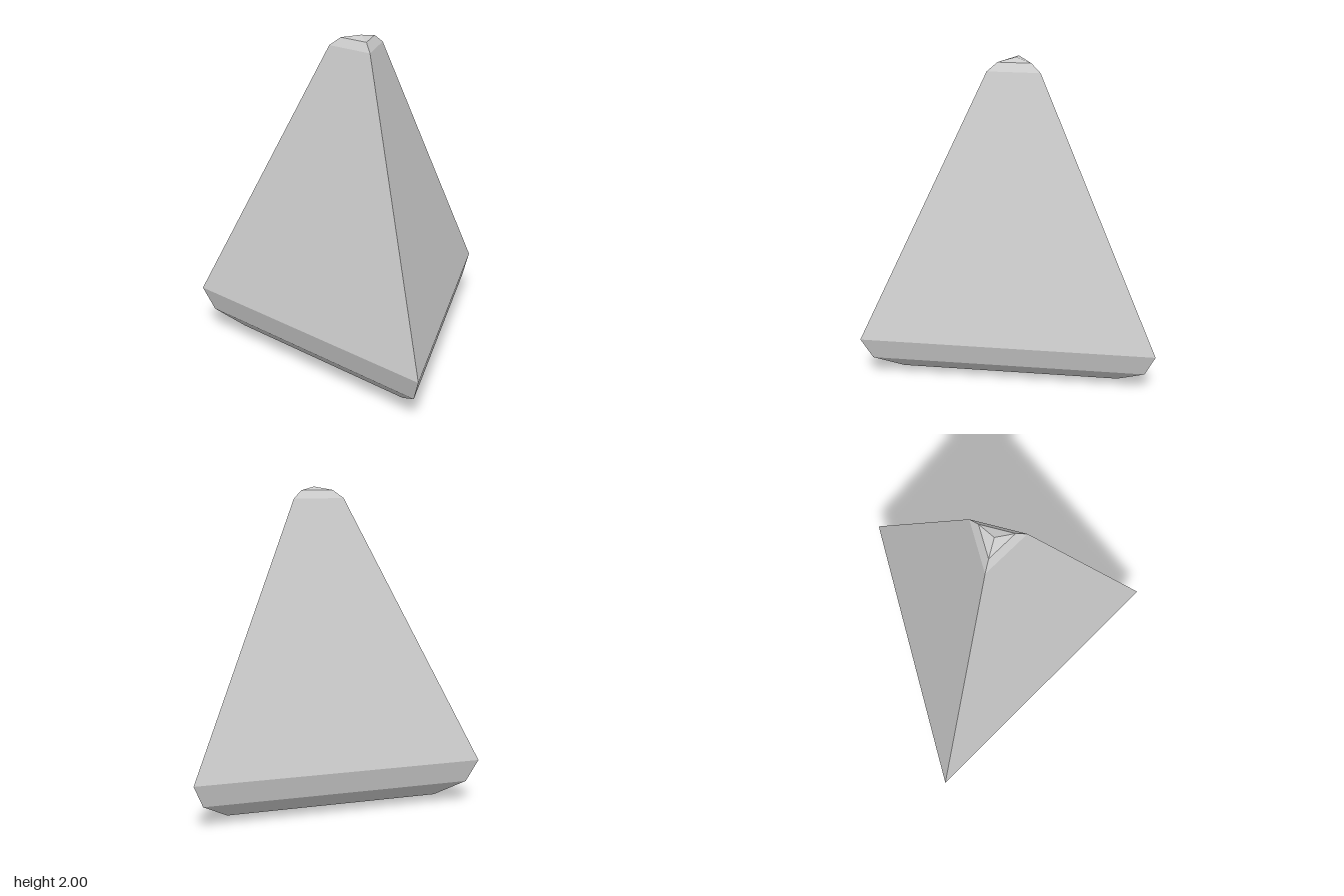
import * as THREE from 'three';

export function createModel() {
  const group = new THREE.Group();
  group.name = 'pyramidStone';

  const stoneGrey = new THREE.MeshStandardMaterial({ color: 0xcccccc, flatShading: true });
  stoneGrey.name = 'stoneGrey';

  // Half profile from the flat base to the blunt tip: [radius, height]
  const profile = [
    [0, 0], [0.507, 0], [0.795, 0.042], [0.996, 0.143],
    [1.072, 0.286], [0.19, 1.93], [0.12, 1.98], [0, 2],
  ].map(([r, y]) => new THREE.Vector2(r, y));

  // Three-sided body, one corner pointing to +x with a very slight turn
  const geometry = new THREE.LatheGeometry(profile, 3, Math.PI / 2);
  const body = new THREE.Mesh(geometry, stoneGrey);
  body.name = 'body';
  body.rotation.y = 0.006;
  body.position.x = -0.268;
  group.add(body);

  return group;
}
